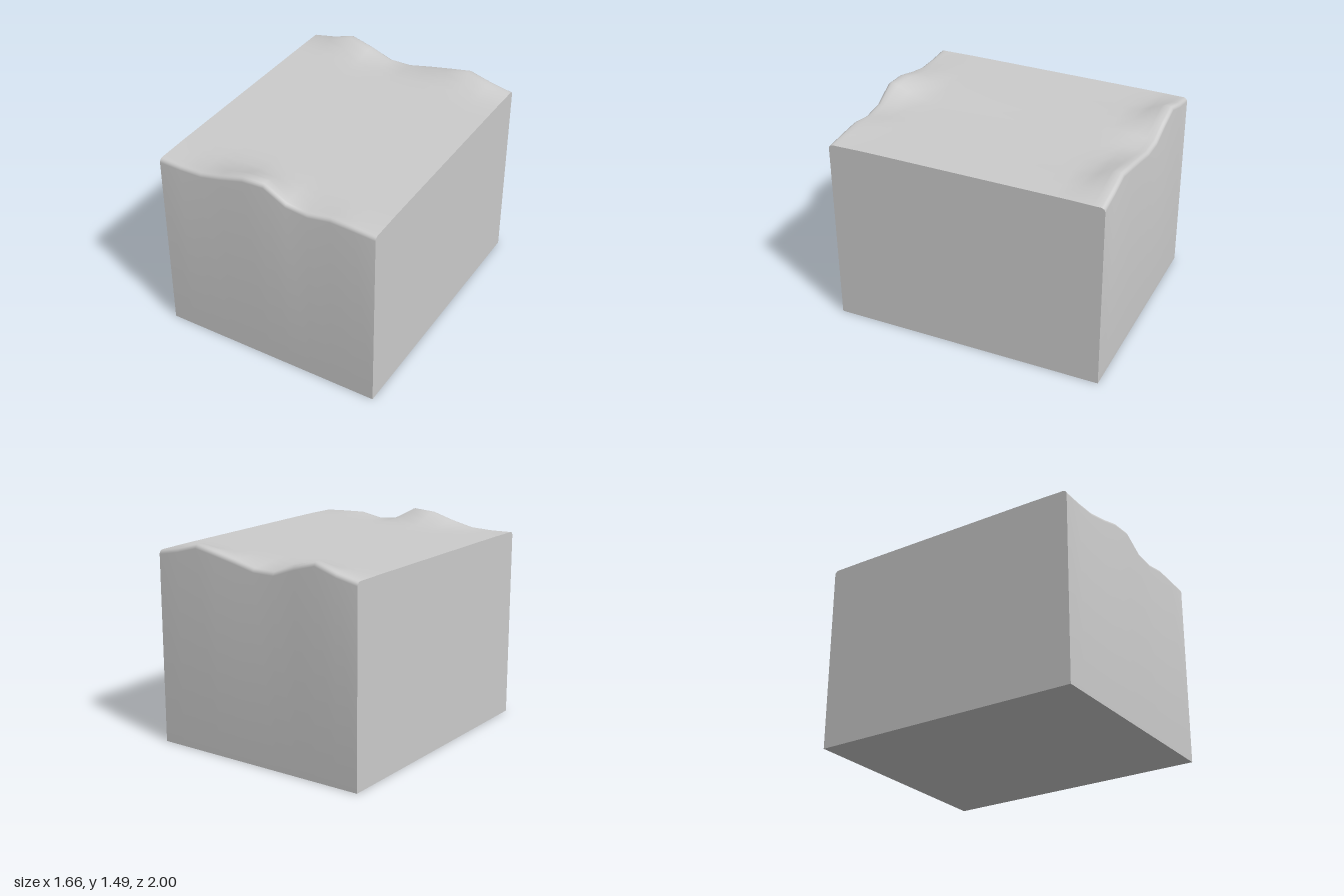
import * as THREE from 'three';
import { toCreasedNormals } from 'three/addons/utils/BufferGeometryUtils.js';

const HALF_W = 0.83, BASE = 1.4, BEVEL = 0.03;

// Crest height above the flat top, sampled evenly from -x to +x
const FRONT = [-0.003, -0.008, -0.003, 0.033, 0.08, 0.09, 0, -0.017, 0.012, 0.005, -0.005];
const BACK = [-0.002, 0.03, 0.082, 0.035, -0.025, -0.025, 0.012, 0.045, 0.076, 0.03, -0.003];

// How far the crest carries inward: [|z|, share of crest height]
const FADE = [[0.94, 1], [0.915, 0.9], [0.835, 0.5], [0.755, 0.13], [0.65, 0.05], [0.55, 0]];

// One half of a cross-section, from the bottom edge up the wall and over the top
function halfSection(height, side) {
  const points = [[0, side]];
  for (let i = 0; i <= 4; i++) {
    const a = (i / 4) * Math.PI / 2;
    points.push([BASE + height - BEVEL * (1 - Math.sin(a)), side * (1 - BEVEL * (1 - Math.cos(a)))]);
  }
  for (const [z, share] of FADE) points.push([BASE + height * share, side * z]);
  return points;
}

// Loft the cross-sections along x and close both ends
function blockGeometry() {
  const positions = [], index = [];
  const columns = FRONT.length;
  let ring = 0;
  FRONT.forEach((height, c) => {
    const x = -HALF_W + (2 * HALF_W * c) / (columns - 1);
    const section = [...halfSection(height, 1), ...halfSection(BACK[c], -1).reverse()];
    ring = section.length;
    for (const [y, z] of section) positions.push(x, y, z);
  });
  for (let c = 0; c < columns - 1; c++) {
    for (let i = 0; i < ring; i++) {
      const j = (i + 1) % ring;
      const a = c * ring + i, b = c * ring + j;
      index.push(a, a + ring, b, b, a + ring, b + ring);
    }
  }
  // End walls fan out from the middle of the side
  for (const [c, x] of [[0, -HALF_W], [columns - 1, HALF_W]]) {
    const centre = positions.length / 3;
    positions.push(x, 0.7, 0);
    for (let i = 0; i < ring; i++) {
      const a = c * ring + i, b = c * ring + ((i + 1) % ring);
      if (c === 0) index.push(centre, a, b);
      else index.push(centre, b, a);
    }
  }
  const geometry = new THREE.BufferGeometry();
  geometry.setAttribute('position', new THREE.Float32BufferAttribute(positions, 3));
  geometry.setIndex(index);
  return toCreasedNormals(geometry, Math.PI / 4.5);
}

export function createModel() {
  const group = new THREE.Group();
  group.name = 'terrainBlock';
  const block = new THREE.Mesh(blockGeometry(), new THREE.MeshStandardMaterial({ color: 0xcccccc }));
  block.name = 'groundBlock';
  group.add(block);
  return group;
}
